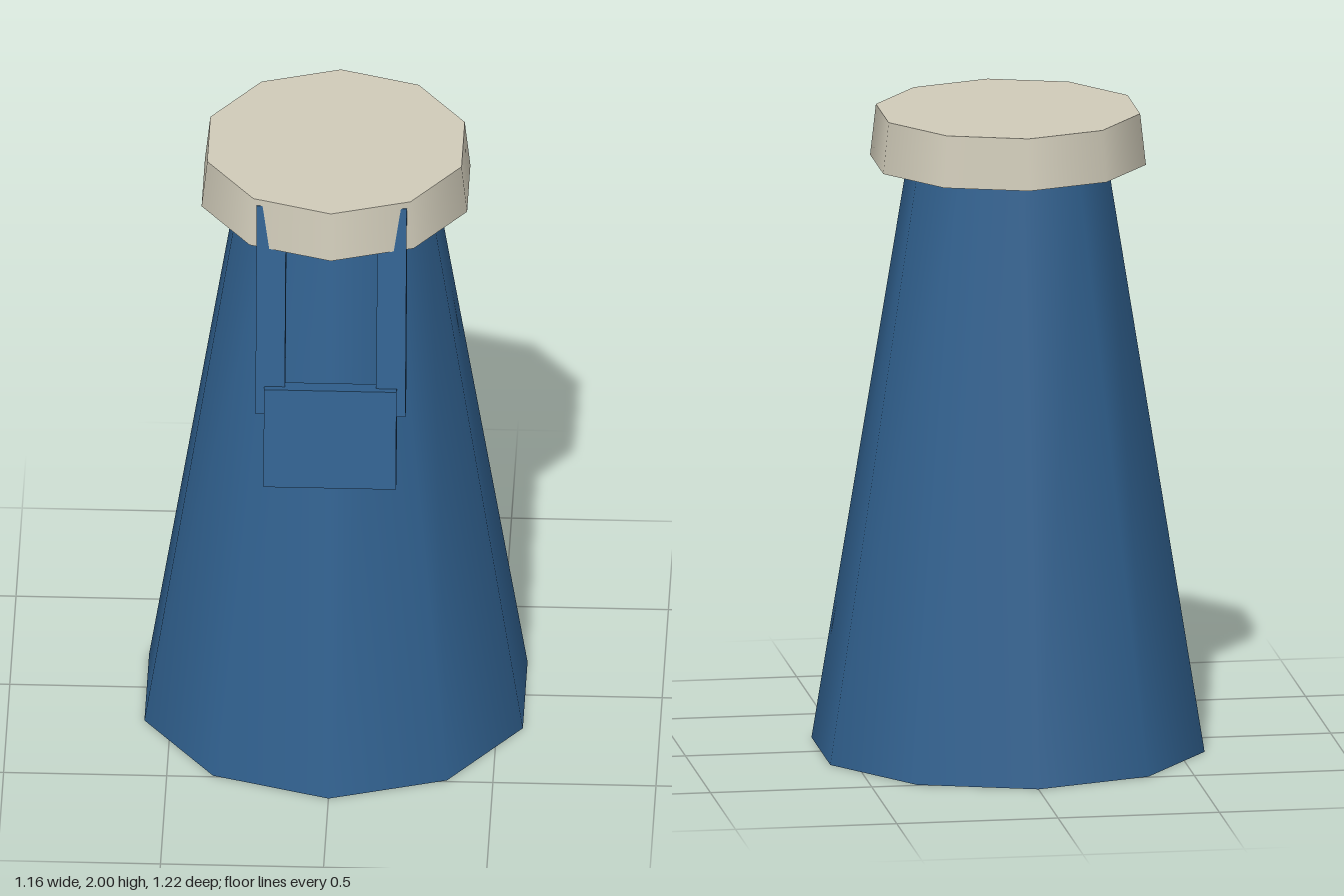
import * as THREE from 'three';

export function createModel() {
  const group = new THREE.Group();
  const blue = new THREE.MeshStandardMaterial({ color: 0x30608e });
  blue.name = 'blue';
  const cream = new THREE.MeshStandardMaterial({ color: 0xd0cbb9 });
  cream.name = 'cream';

  const SIDES = 10;
  const TILT = -0.16; // clip leans back along the sloping body
  const RIM = 1.84;

  function add(name, geometry, material, x, y, z, tilt = 0) {
    const mesh = new THREE.Mesh(geometry, material);
    mesh.name = name;
    mesh.position.set(x, y, z);
    mesh.rotation.x = tilt;
    group.add(mesh);
    return mesh;
  }

  // Tapered ten-sided body, smooth around the wall
  add('body', new THREE.CylinderGeometry(0.31, 0.61, RIM, SIDES), blue, 0, RIM / 2, 0);

  // Overhanging cap
  add('cap', new THREE.CylinderGeometry(0.41, 0.428, 2 - RIM, SIDES), cream, 0, (2 + RIM) / 2, 0);

  // Pair of clip arms running up under the cap
  for (const side of [-1, 1]) {
    add(side > 0 ? 'leftClipArm' : 'rightClipArm',
      new THREE.BoxGeometry(0.09, 0.695, 0.06), blue, side * 0.185, 1.633, 0.369, TILT);
  }

  // Plate joining the lower ends of the arms
  add('clipPlate', new THREE.BoxGeometry(0.406, 0.325, 0.06), blue, 0, 1.225, 0.461, TILT);

  return group;
}
